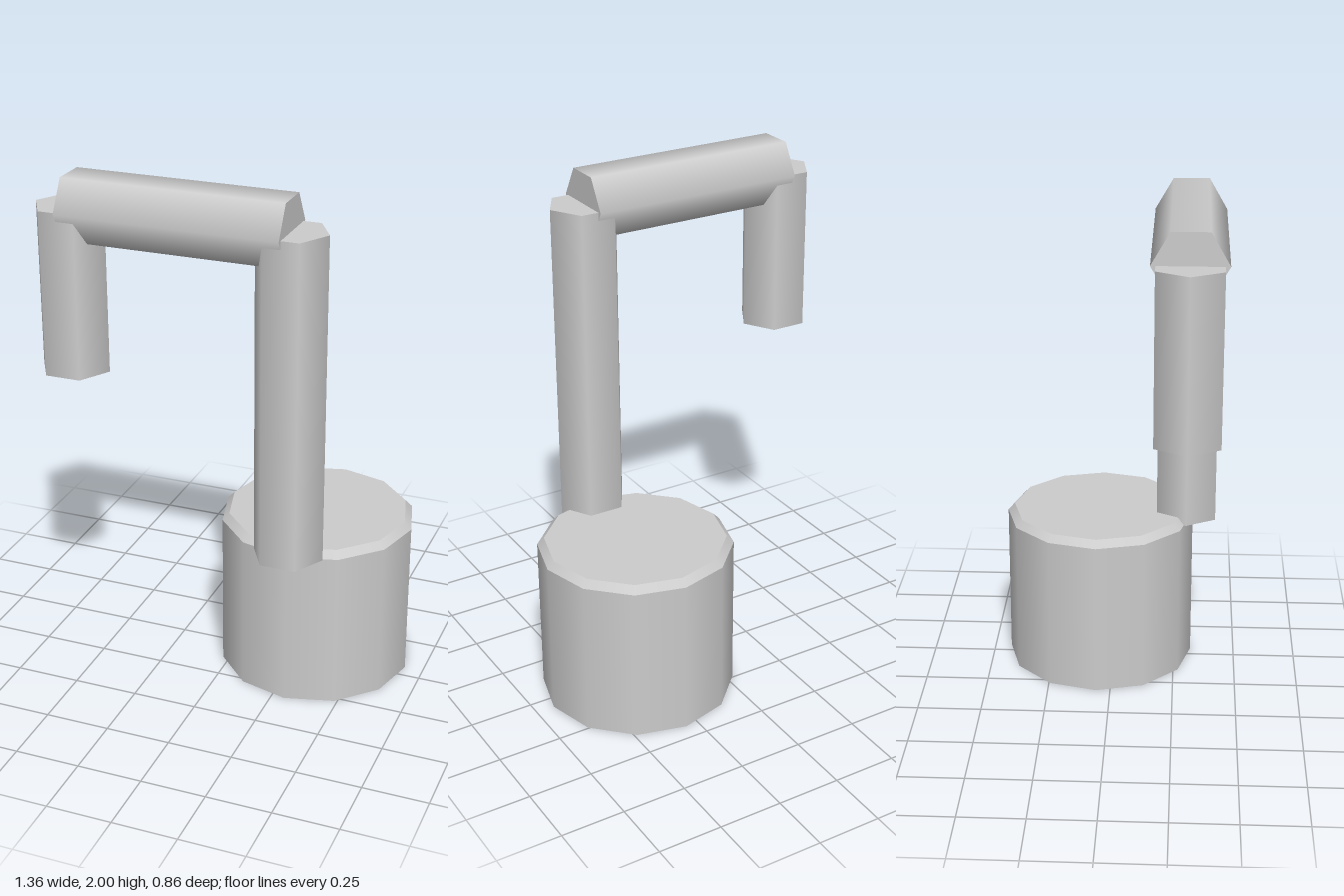
import * as THREE from 'three';

export function createModel() {
  const model = new THREE.Group();
  const grey = new THREE.MeshStandardMaterial({ color: 0xcccccc });
  grey.name = 'plain grey';

  const add = (name, geometry, x, y, z) => {
    const mesh = new THREE.Mesh(geometry, grey);
    mesh.name = name;
    mesh.position.set(x, y, z);
    model.add(mesh);
  };

  // Twelve-sided base with a bevelled top
  const baseX = 0.3, baseZ = -0.057, baseR = 0.377, bodyH = 0.622, rimH = 0.028;
  add('base', new THREE.CylinderGeometry(baseR, baseR, bodyH, 12), baseX, bodyH / 2, baseZ);
  add('baseBevel', new THREE.CylinderGeometry(0.35, baseR, rimH, 12), baseX, bodyH + rimH / 2, baseZ);

  // Hexagonal pipe: upright post, crossbar and hanging spout
  const r = 0.136, pipeZ = 0.293, top = 1.883, postX = 0.3, spoutX = -0.545;
  const upright = (name, x, bottom) => {
    const h = top - bottom;
    add(name, new THREE.CylinderGeometry(r, r, h, 6, 1, false, Math.PI / 2), x, bottom + h / 2, pipeZ);
  };
  upright('post', postX, 0.622);
  upright('spout', spoutX, 1.252);

  const bar = new THREE.CylinderGeometry(r, r, postX - spoutX, 6).rotateZ(Math.PI / 2);
  add('crossbar', bar, (postX + spoutX) / 2, top, pipeZ);

  return model;
}
